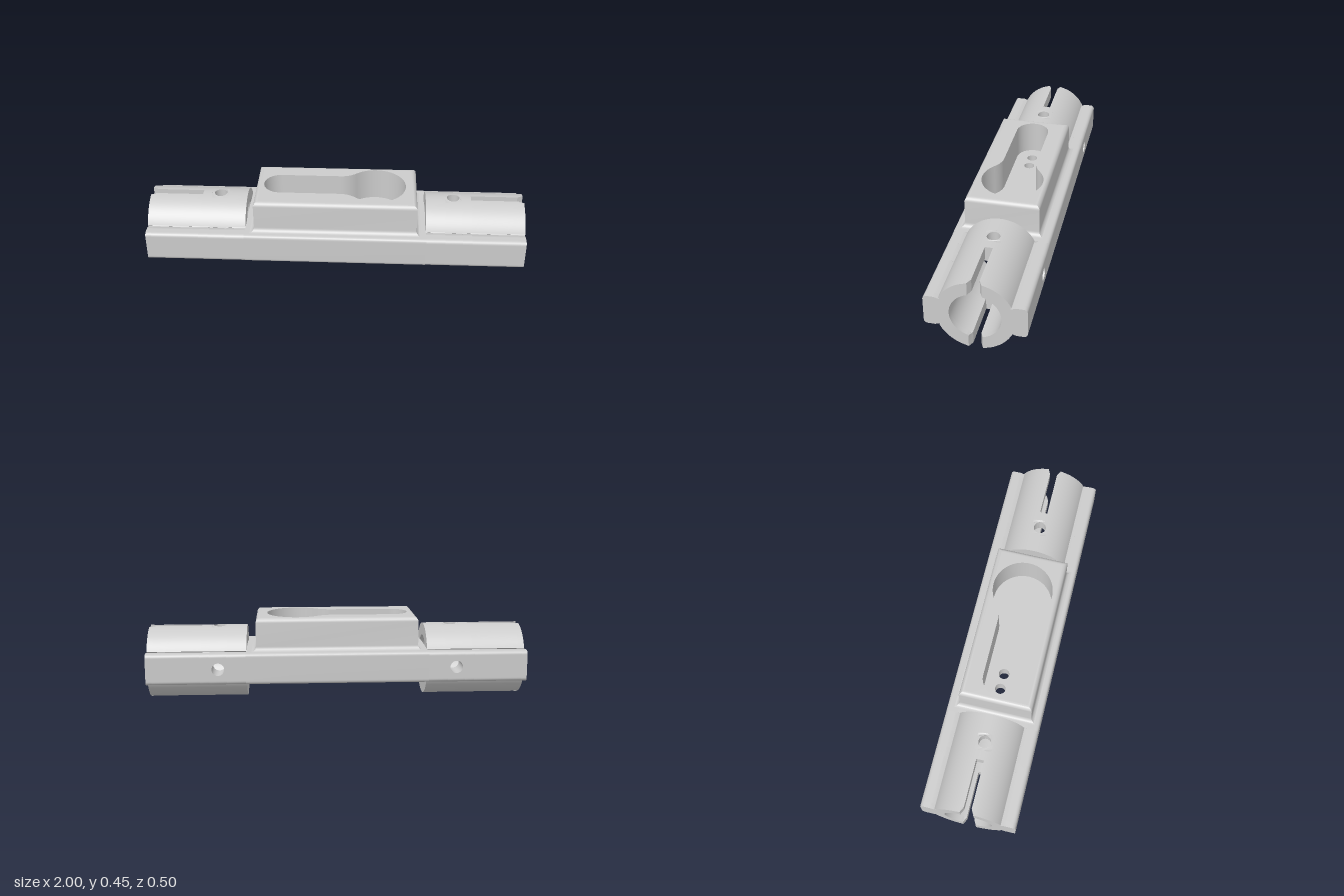
import * as THREE from 'three';
import { toCreasedNormals } from 'three/addons/utils/BufferGeometryUtils.js';

const CY = 0.192, R = 0.192, BORE = 0.126;    // tube axis height and radii
const HZ = 0.25, HY = 0.082, ROUND = 0.02;    // bar half depth, half height, edge radius
const BOTTOM = CY - HY, TOP = CY + HY;
const HOLE_X = 0.625, HOLE_R = 0.033, PLUG = 0.045;
const material = new THREE.MeshStandardMaterial({ color: 0xcccccc });
const deg = Math.PI / 180;

// creased normals, computed at a larger scale so that small details stay apart
function mesh(name, geometry) {
  geometry.scale(100, 100, 100);
  const g = toCreasedNormals(geometry, 0.55);
  g.scale(0.01, 0.01, 0.01);
  const m = new THREE.Mesh(g, material);
  m.name = name;
  return m;
}

const extrude = (shape, depth) =>
  new THREE.ExtrudeGeometry(shape, { depth, bevelEnabled: false, curveSegments: 32 });

// shape in (-z, y), extruded along x
const alongX = (shape, x0, x1) =>
  extrude(shape, Math.abs(x1 - x0)).rotateY(Math.PI / 2).translate(Math.min(x0, x1), 0, 0);

// shape in (x, -z), extruded upwards
const upwards = (shape, y0, y1) => extrude(shape, y1 - y0).rotateX(-Math.PI / 2).translate(0, y0, 0);

function rectangle(x0, y0, x1, y1) {
  const p = [[x0, y0], [x1, y0], [x1, y1], [x0, y1]];
  const pts = [];
  p.forEach(([x, y], i) => {
    const [nx, ny] = p[(i + 1) % 4];
    for (let k = 0; k < 8; k++) pts.push(new THREE.Vector2(x + (nx - x) * k / 8, y + (ny - y) * k / 8));
  });
  return new THREE.Shape(pts);
}

const circle = (x, y, r) => new THREE.Path().absarc(x, y, r, 0, Math.PI * 2);

// distance from the axis to the outline of the rounded bar joined with the tube
function outerRadius(a) {
  const c = Math.abs(Math.cos(a)), s = Math.abs(Math.sin(a));
  let t = Math.min(HZ / Math.max(c, 1e-6), HY / Math.max(s, 1e-6));
  const cx = HZ - ROUND, cy = HY - ROUND;
  if (t * c > cx && t * s > cy) {
    const b = c * cx + s * cy;
    t = b + Math.sqrt(Math.max(0, b * b - (cx * cx + cy * cy - ROUND * ROUND)));
  }
  // small relief groove where tube and bar meet
  if (Math.abs(Math.atan2(s, c) - 24.3 * deg) < 0.9 * deg) return 0.184;
  return Math.max(R, t);
}

// piece of the end section between two parallel-sided gaps { a: direction, w: half width }
function sectionPiece(from, to) {
  const out = g => (Math.abs(Math.sin(g.a)) < 0.5 ? Math.atan(g.w / HZ) : Math.asin(g.w / R));
  const inn = g => Math.asin(g.w / BORE);
  const pts = [];
  const add = (a, r) => pts.push(new THREE.Vector2(Math.cos(a) * r, CY + Math.sin(a) * r));
  const a0 = from.a + out(from), a1 = to.a - out(to);
  const n = Math.round((a1 - a0) / (0.6 * deg));
  for (let i = 0; i <= n; i++) {
    const a = a0 + (a1 - a0) * i / n;
    add(a, outerRadius(a));
  }
  const b0 = from.a + inn(from), b1 = to.a - inn(to);
  const m = Math.round((b1 - b0) / (4 * deg));
  for (let i = m; i >= 0; i--) add(b0 + (b1 - b0) * i / m, BORE);
  return new THREE.Shape(pts);
}

function moveVertices(geometry, rule) {
  const p = geometry.attributes.position, v = new THREE.Vector3();
  for (let i = 0; i < p.count; i++) {
    rule(v.fromBufferAttribute(p, i));
    p.setXYZ(i, v.x, v.y, v.z);
  }
  return geometry;
}

function tubeEnd(side) {
  const group = new THREE.Group();
  group.name = side > 0 ? 'leftTubeEnd' : 'rightTubeEnd';
  const gap = (angle, w) => ({ a: angle * deg, w });
  const whole = [gap(-90, 0), gap(90, 0)];
  const slotted = [gap(-90, 0.02), gap(90, 0.02)];
  const drilled = [gap(0, PLUG), gap(90, PLUG)];
  const segments = [
    ['tubeRoot', 0.478, HOLE_X - PLUG, whole],
    ['tubeAroundHoles', HOLE_X - PLUG, HOLE_X + PLUG, drilled],
    ['tubeMiddle', HOLE_X + PLUG, 0.72, whole],
    ['slottedTube', 0.72, 0.97, slotted],
    ['flaredTubeMouth', 0.97, 1, slotted],
  ];
  for (const [name, x0, x1, gaps] of segments) {
    gaps.forEach((g, i) => {
      const next = gaps[i + 1] || { a: gaps[0].a + Math.PI * 2, w: gaps[0].w };
      const geo = alongX(sectionPiece(g, next), side * x0, side * x1);
      // widen the slots towards the mouth
      if (x1 === 1) moveVertices(geo, v => {
        if (Math.abs(v.x) > 0.99 && Math.abs(v.z) < 0.035) v.z = Math.sign(v.z) * 0.035;
      });
      group.add(mesh(name, geo));
    });
  }
  // wall patches carrying the top hole and the back hole
  const plate = rectangle(-PLUG, -PLUG, PLUG, PLUG);
  plate.holes.push(circle(0, 0, HOLE_R));
  const top = moveVertices(upwards(plate, 0, 1), v => {
    const r = v.y > 0.5 ? R : BORE;
    v.y = CY + Math.sqrt(r * r - v.z * v.z);
  });
  const back = moveVertices(extrude(plate, 1), v => {
    v.z = v.z > 0.5 ? -Math.sqrt(BORE * BORE - v.y * v.y) : -HZ;
    v.y += CY;
  });
  group.add(mesh('topHoleWall', top.translate(side * HOLE_X, 0, 0)));
  group.add(mesh('backHoleWall', back.translate(side * HOLE_X, 0, 0)));
  return group;
}

// solid middle of the bar: two rounded rails and a drilled core
function centreBar() {
  const group = new THREE.Group();
  group.name = 'centreBar';
  const L = 0.48, inner = 0.19;
  for (const s of [1, -1]) {
    const rail = new THREE.Shape();
    const x = HZ - ROUND;
    rail.moveTo(s * inner, BOTTOM);
    rail.lineTo(s * x, BOTTOM);
    rail.quadraticCurveTo(s * HZ, BOTTOM, s * HZ, BOTTOM + ROUND);
    rail.lineTo(s * HZ, TOP - ROUND);
    rail.quadraticCurveTo(s * HZ, TOP, s * x, TOP);
    rail.lineTo(s * inner, TOP);
    group.add(mesh('sideRail', alongX(rail, -L, L)));
  }
  // lower core with the double counterbore, upper core with two small holes
  const xa = -0.3, xb = -0.215, r = 0.062, mid = (xa + xb) / 2;
  const k = Math.acos((xb - xa) / 2 / r);
  const lower = rectangle(-L, -inner, L, inner);
  const eight = new THREE.Path();
  eight.absarc(xb, 0, r, -Math.PI + k, Math.PI - k);
  eight.absarc(xa, 0, r, k, Math.PI * 2 - k);
  lower.holes.push(eight);
  const upper = rectangle(-L, -inner, L, inner);
  upper.holes.push(circle(xa, 0, 0.028), circle(xb, 0, 0.028));
  group.add(mesh('lowerCore', upwards(lower, BOTTOM, 0.2)));
  group.add(mesh('upperCore', upwards(upper, 0.2, TOP)));
  return group;
}

// raised block with filleted foot, rounded top edge and keyhole pocket
function raisedBlock() {
  const group = new THREE.Group();
  group.name = 'raisedBlock';
  const hx = 0.428, hz = 0.193, cz = 0.006, height = 0.449, f = 0.025, steps = 8;
  const profile = [];
  for (let i = 0; i <= steps; i++) {
    const a = Math.PI / 2 * i / steps;
    profile.push([f * (1 - Math.sin(a)), TOP + f * (1 - Math.cos(a))]);
  }
  for (let i = 0; i <= steps; i++) {
    const a = Math.PI / 2 * i / steps;
    profile.push([-f * (1 - Math.cos(a)), height - f + f * Math.sin(a)]);
  }
  const pos = [], index = [];
  profile.forEach(([o, y], j) => {
    for (const [sx, sz] of [[1, 1], [1, -1], [-1, -1], [-1, 1]])
      pos.push(sx * (hx + o), y, cz + sz * (hz + o));
    if (j) for (let i = 0; i < 4; i++) {
      const a = (j - 1) * 4 + i, b = (j - 1) * 4 + (i + 1) % 4;
      index.push(a, b, b + 4, a, b + 4, a + 4);
    }
  });
  const skin = new THREE.BufferGeometry();
  skin.setAttribute('position', new THREE.Float32BufferAttribute(pos, 3));
  skin.setIndex(index);
  group.add(mesh('blockSides', skin));

  const x = hx - f, z = hz - f;
  const face = rectangle(-x, -cz - z, x, -cz + z);
  const pocket = new THREE.Path();
  pocket.moveTo(-0.3, -0.088);
  pocket.lineTo(0.02, -0.088);
  pocket.quadraticCurveTo(0.066, -0.088, 0.107, -0.1226);
  pocket.absarc(0.21, 0, 0.16, -130 * deg, 130 * deg);
  pocket.quadraticCurveTo(0.066, 0.088, 0.02, 0.088);
  pocket.lineTo(-0.3, 0.088);
  pocket.absarc(-0.3, 0, 0.088, 90 * deg, 270 * deg);
  face.holes.push(pocket);
  group.add(mesh('pocketWall', upwards(face, TOP, height)));
  return group;
}

export function createModel() {
  const model = new THREE.Group();
  model.name = 'tubeConnector';
  model.add(centreBar(), raisedBlock(), tubeEnd(1), tubeEnd(-1));
  return model;
}
